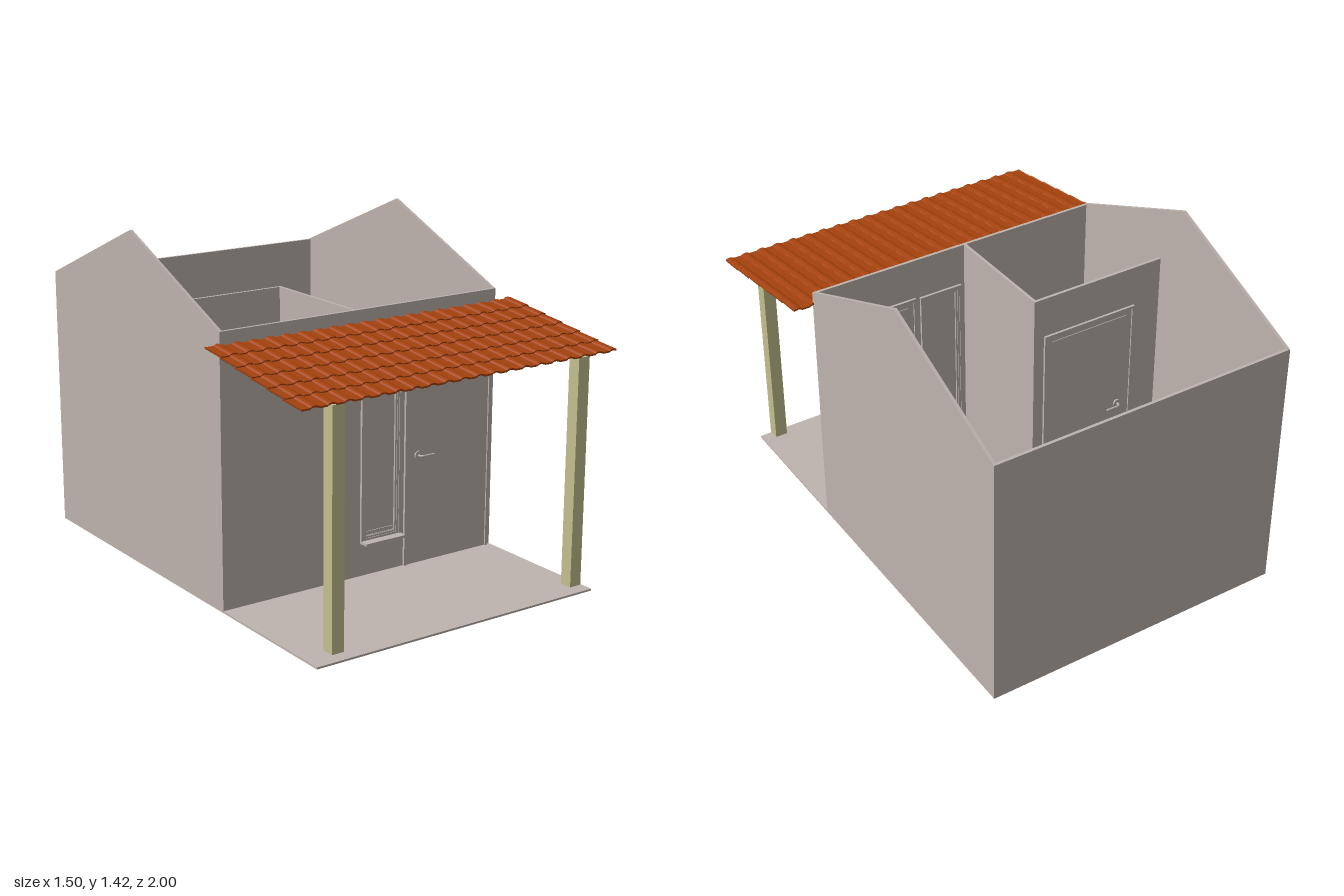
import * as THREE from 'three';

const material = (name, color) => {
  const m = new THREE.MeshStandardMaterial({ color });
  m.name = name;
  return m;
};

export function createModel() {
  const plaster = material('warm grey plaster', 0xbfb4af);
  const timber = material('pale timber', 0xc5c08f);
  const clay = material('terracotta', 0xa5420e);
  const house = new THREE.Group();
  house.name = 'house';

  const add = (parent, name, geo, mat, x = 0, y = 0, z = 0) => {
    const m = new THREE.Mesh(geo, mat);
    m.name = name;
    m.position.set(x, y, z);
    parent.add(m);
    return m;
  };
  // Box given by its lower and upper limits
  const block = (parent, name, mat, x0, x1, y0, y1, z0, z1) =>
    add(parent, name, new THREE.BoxGeometry(x1 - x0, y1 - y0, z1 - z0), mat,
      (x0 + x1) / 2, (y0 + y1) / 2, (z0 + z1) / 2);
  const polygon = (pts) => new THREE.Shape(pts.map(([x, y]) => new THREE.Vector2(x, y)));
  const rect = (x0, x1, y0, y1) => polygon([[x0, y0], [x1, y0], [x1, y1], [x0, y1]]);
  const extrude = (shape, depth) =>
    new THREE.ExtrudeGeometry(shape, { depth, bevelEnabled: false });

  const L = -0.69, R = 0.66, BACK = -1, FRONT = 0.355, EAVE = 1.135, T = 0.013, FLOOR = 0.008;

  // Floors
  block(house, 'houseFloor', plaster, L, R, 0, FLOOR, BACK, 0.345);
  block(house, 'porchFloor', plaster, L, R, 0, FLOOR, 0.345, 1);

  // Gabled side walls
  const gable = polygon([[-FRONT, 0], [-BACK, 0], [-BACK, EAVE], [0.32, 1.42], [-FRONT, EAVE]]);
  for (const [name, x] of [['rightWall', L], ['leftWall', R - T]]) {
    add(house, name, extrude(gable, T).rotateY(Math.PI / 2), plaster, x);
  }
  block(house, 'backWall', plaster, L + T, R - T, 0, EAVE, BACK, BACK + T);

  // Front wall with its door and window openings
  const frontShape = polygon([[L + T, 0], [0.2, 0], [0.2, 0.945], [0.635, 0.945], [0.635, 0],
    [R - T, 0], [R - T, EAVE], [L + T, EAVE]]);
  frontShape.holes.push(rect(-0.01, 0.15, 0.18, 0.93));
  add(house, 'frontWall', extrude(frontShape, T), plaster, 0, 0, FRONT - T);

  // Inner room walls
  const innerShape = polygon([[L + T, 0], [-0.54, 0], [-0.54, 0.945], [-0.105, 0.945], [-0.105, 0],
    [-0.05, 0], [-0.05, EAVE], [L + T, EAVE]]);
  add(house, 'innerBackWall', extrude(innerShape, T), plaster, 0, 0, -0.193);
  block(house, 'innerSideWall', plaster, -0.063, -0.05, 0, EAVE, -0.18, FRONT - T);

  // Door with frame, leaf and a lever handle on each side
  function door(name, x, z) {
    const g = new THREE.Group();
    g.name = name;
    g.position.set(x, 0, z);
    const w = 0.225, i = 0.213, top = 0.955;
    const frame = polygon([[-w, FLOOR], [-i, FLOOR], [-i, top - 0.012], [i, top - 0.012],
      [i, FLOOR], [w, FLOOR], [w, top], [-w, top]]);
    add(g, 'doorFrame', extrude(frame, 0.034), plaster, 0, 0, -0.017);
    block(g, 'doorLeaf', plaster, -i, i, FLOOR, top - 0.012, -0.011, 0.011);
    for (const s of [-1, 1]) {
      add(g, 'doorTopRail', new THREE.BoxGeometry(0.37, 0.004, 0.004), plaster, 0, 0.917, s * 0.012);
      const hx = -0.155;
      add(g, 'handleRose', new THREE.CylinderGeometry(0.019, 0.019, 0.006, 20).rotateX(Math.PI / 2),
        plaster, hx, 0.48, s * 0.014);
      const path = new THREE.CatmullRomCurve3([[0, 0.014], [0, 0.028], [0.008, 0.035],
        [0.03, 0.036], [0.064, 0.036]].map(([a, b]) => new THREE.Vector3(a, 0, b * s)));
      add(g, 'handleLever', new THREE.TubeGeometry(path, 14, 0.005, 8), plaster, hx, 0.48, 0);
      add(g, 'handleTip', new THREE.SphereGeometry(0.005, 8, 6), plaster, hx + 0.064, 0.48, s * 0.036);
    }
    house.add(g);
  }
  door('frontDoor', 0.417, FRONT - T / 2);
  door('innerDoor', -0.323, -0.1865);

  // Tall window built from stepped frames
  const windowGroup = new THREE.Group();
  windowGroup.name = 'window';
  [[0, 0.01, 0.366], [0.01, 0.01, 0.363], [0.02, 0.008, 0.36]].forEach(([inset, width, z]) => {
    const box = (d) => rect(-0.03 + d, 0.17 - d, 0.15 + d, 0.95 - d);
    const ring = box(inset);
    ring.holes.push(box(inset + width));
    const z0 = 2 * (FRONT - T / 2) - z;
    add(windowGroup, 'windowFrame', extrude(ring, z - z0), plaster, 0, 0, z0);
  });
  block(windowGroup, 'windowPane', plaster, -0.003, 0.143, 0.177, 0.923, 0.344, 0.352);
  block(windowGroup, 'windowSill', plaster, -0.03, 0.17, 0.15, 0.161, 0.355, 0.402);
  block(windowGroup, 'windowTransom', plaster, -0.003, 0.143, 0.192, 0.197, 0.343, 0.356);
  house.add(windowGroup);

  // Porch posts
  for (const [name, x] of [['rightPost', -0.584], ['leftPost', 0.588]]) {
    block(house, name, timber, x - 0.0275, x + 0.0275, 0.03, 0.983, 0.927, 0.982);
  }

  // Porch roof: overlapping rows of tiles with a raised roll on each tile
  const roof = new THREE.Group();
  roof.name = 'porchRoof';
  const COLS = 20, ROWS = 6, pitch = 1.5 / COLS;
  const upper = [], lower = [];
  for (let c = 0; c < COLS; c++) {
    const x = -0.75 + c * pitch;
    for (const [f, h] of [[0, 0.003], [0.04, 0], [0.5, 0], [0.6, 0.005], [0.75, 0.007], [0.9, 0.005], [0.99, 0.003]]) {
      upper.push([x + f * pitch, h + 0.005]);
      lower.push([x + f * pitch, h - 0.002]);
    }
  }
  upper.push([0.75, 0.008]);
  lower.push([0.75, 0.001]);
  const tileRow = extrude(polygon([...lower, ...upper.reverse()]), 0.118);
  const slope = Math.atan2(0.096, 0.645);
  for (let r = 0; r < ROWS; r++) {
    const z = 0.345 + r * 0.1055;
    const row = add(roof, 'tileRow', tileRow, clay, 0, 1.077 - (z - 0.345) * Math.tan(slope), z);
    row.rotation.x = slope - 0.045;
  }
  // Raised joints between tile columns
  for (let c = 1; c < COLS; c++) {
    const joint = add(roof, 'tileJoint', new THREE.BoxGeometry(0.004, 0.006, 0.64), clay,
      -0.75 + c * pitch, 1.036, 0.667);
    joint.rotation.x = slope;
  }
  house.add(roof);

  return house;
}
